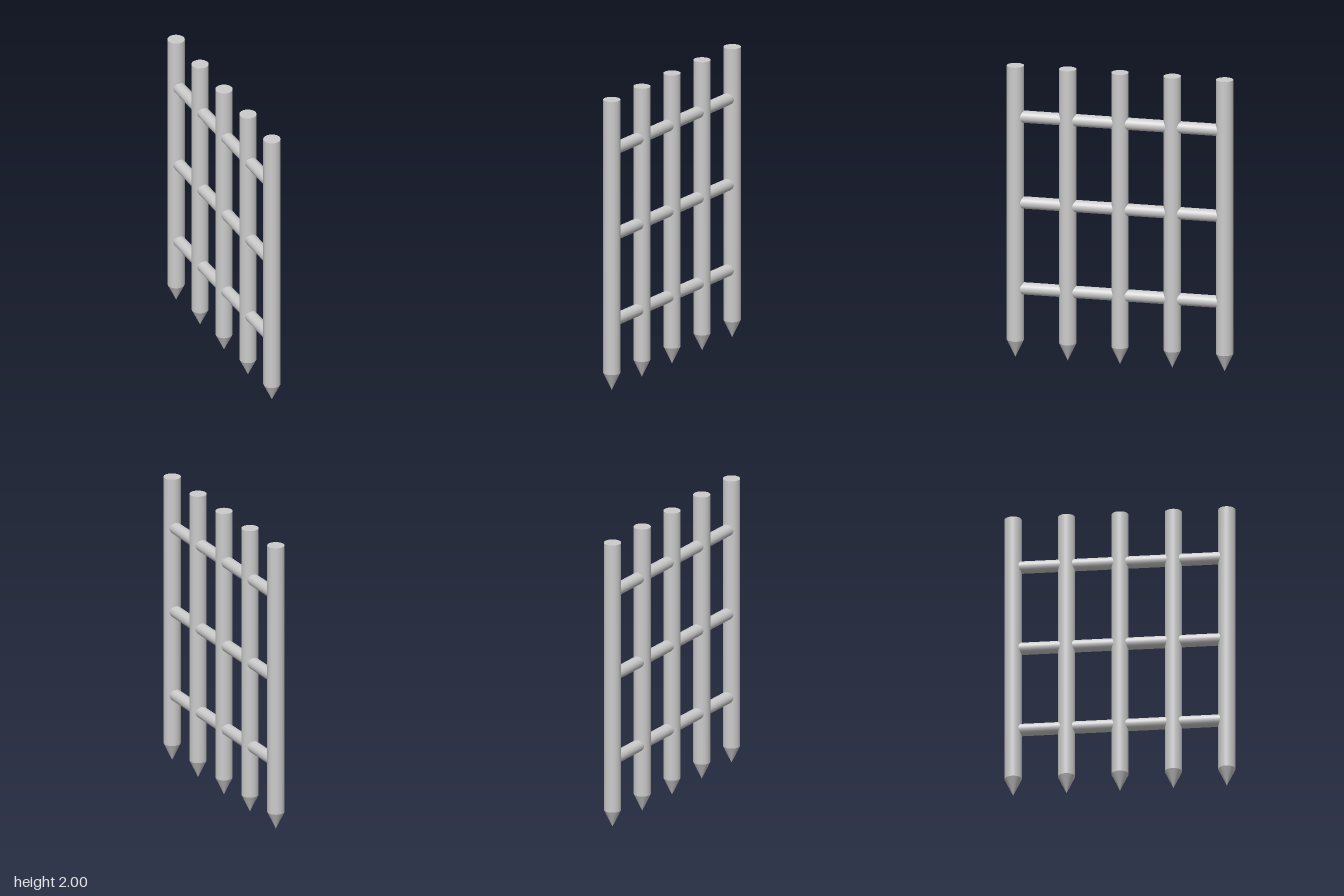
import * as THREE from 'three';

export function createModel() {
  const group = new THREE.Group();
  const material = new THREE.MeshStandardMaterial({ color: 0xcccccc });
  const height = 2, tipHeight = 0.12, postRadius = 0.057, barRadius = 0.041;
  const spacing = 0.3535, postCount = 5;
  const shaftHeight = height - tipHeight;

  const add = (parent, name, geometry, y) => {
    const mesh = new THREE.Mesh(geometry, material);
    mesh.name = name;
    mesh.position.y = y;
    parent.add(mesh);
    return mesh;
  };

  // Upright posts: round shaft with a pointed foot
  const shaft = new THREE.CylinderGeometry(postRadius, postRadius, shaftHeight, 48, 1);
  const tip = new THREE.ConeGeometry(postRadius, tipHeight, 48, 1, true).rotateX(Math.PI);
  for (let i = 0; i < postCount; i++) {
    const post = new THREE.Group();
    post.name = `post${i + 1}`;
    post.position.z = (i - (postCount - 1) / 2) * spacing;
    add(post, 'postShaft', shaft, tipHeight + shaftHeight / 2);
    add(post, 'postTip', tip, tipHeight / 2);
    group.add(post);
  }

  // Crossbars running through the row of posts, ending inside the outer two
  const bar = new THREE.CylinderGeometry(barRadius, barRadius, spacing * (postCount - 1), 32)
    .rotateX(Math.PI / 2);
  [0.474, 1.063, 1.652].forEach((y, i) => add(group, `crossbar${i + 1}`, bar, y));

  return group;
}
